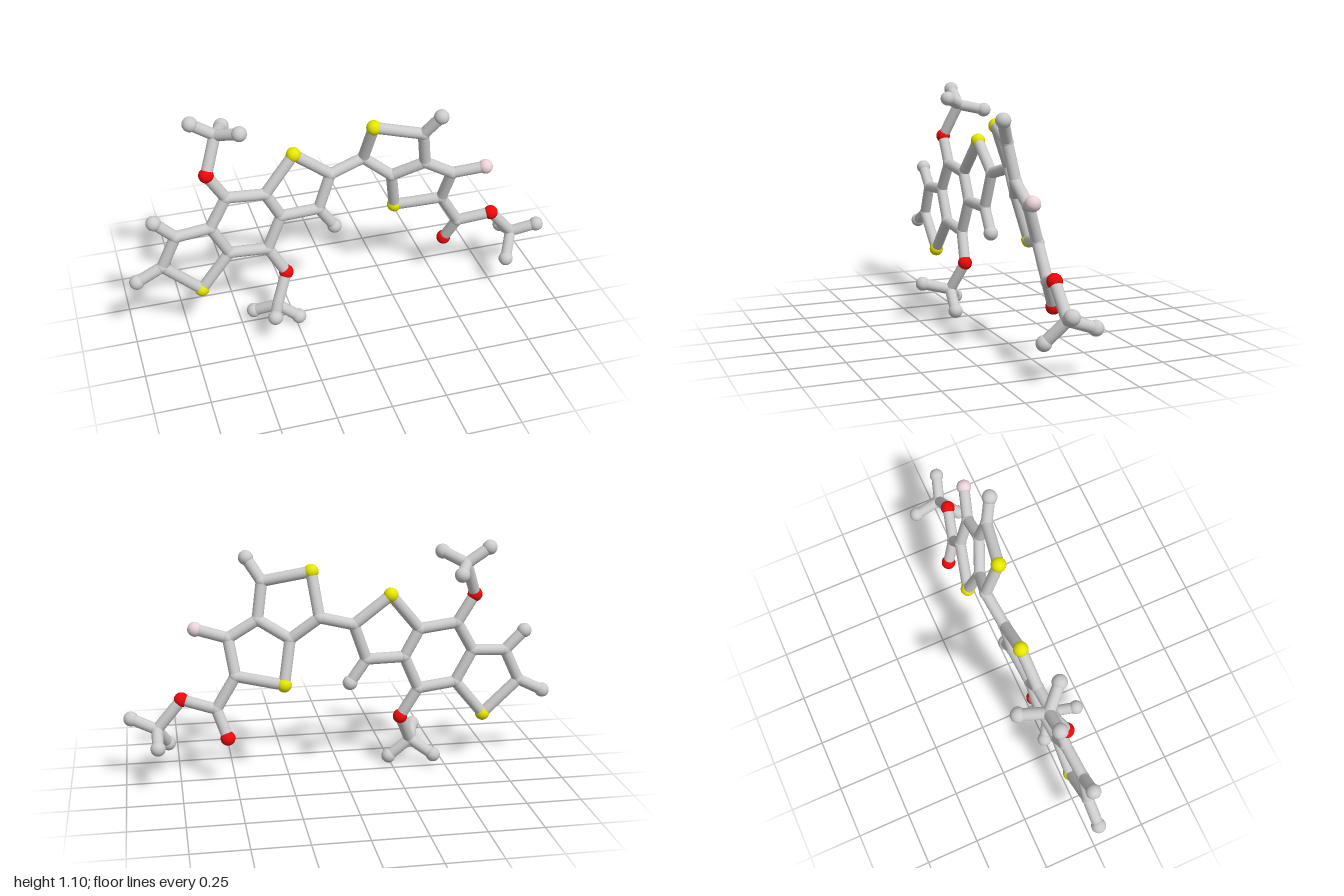
import * as THREE from 'three';

const BOND_RADIUS = 0.026;

// Ball kinds: name, radius, colour
const KINDS = {
  C: ['jointBall', 0.029, 0xcccccc],
  E: ['endBall', 0.034, 0xcccccc],
  S: ['yellowBall', 0.034, 0xe6e600],
  O: ['redBall', 0.034, 0xee0808],
  F: ['pinkBall', 0.034, 0xecd4d8],
};

// Each section lists balls as id: [kind, x, y, z]
const SECTIONS = {
  tripleRing: {
    c1: ['C', -0.78, 0.56, 0.01], c2: ['C', -0.85, 0.41, 0.01],
    s1: ['S', -0.68, 0.25, 0.01], c3: ['C', -0.54, 0.42, 0],
    c4: ['C', -0.62, 0.57, 0], c5: ['C', -0.54, 0.71, -0.01],
    c6: ['C', -0.36, 0.69, -0.02], c7: ['C', -0.29, 0.56, -0.02],
    c8: ['C', -0.36, 0.40, -0.01], s2: ['S', -0.22, 0.86, -0.04],
    c9: ['C', -0.05, 0.73, -0.04], c10: ['C', -0.11, 0.56, -0.03],
    e1: ['E', -0.87, 0.65, 0.01], e2: ['E', -0.97, 0.35, 0.01],
    e3: ['E', -0.035, 0.45, -0.03],
  },
  upperBranch: {
    o1: ['O', -0.62, 0.84, -0.01], m1: ['C', -0.56, 1.0, -0.07],
    m1a: ['E', -0.665, 1.07, -0.07], m1b: ['E', -0.47, 1.04, 0.02],
    m1c: ['E', -0.51, 0.975, -0.185],
  },
  lowerBranch: {
    o2: ['O', -0.28, 0.26, 0.005], m2: ['C', -0.34, 0.12, 0.06],
    m2a: ['E', -0.44, 0.06, -0.005], m2b: ['E', -0.24, 0.037, 0.07],
    m2c: ['E', -0.38, 0.15, 0.188],
  },
  doubleRing: {
    c11: ['C', 0.11, 0.775, -0.06], s3: ['S', 0.135, 0.97, 0.015],
    c12: ['C', 0.355, 0.925, 0.055], c13: ['C', 0.38, 0.755, 0.025],
    c14: ['C', 0.24, 0.675, -0.035], s4: ['S', 0.275, 0.475, -0.085],
    c15: ['C', 0.49, 0.51, -0.03], c16: ['C', 0.515, 0.675, 0.025],
    e4: ['E', 0.42, 1.025, 0.1], f1: ['F', 0.66, 0.71, 0.07],
  },
  sideBranch: {
    c17: ['C', 0.58, 0.36, -0.035], o3: ['O', 0.535, 0.235, -0.085],
    o4: ['O', 0.735, 0.40, 0.005], m3: ['C', 0.85, 0.265, 0],
    m3a: ['E', 0.965, 0.31, 0.037], m3b: ['E', 0.8, 0.165, 0.08],
    m3c: ['E', 0.85, 0.22, -0.127],
  },
};

// Rods run along each chain of balls
const CHAINS = [
  'c1 c2 s1 c3 c4 c1', 'c4 c5 c6 c7 c8 c3', 'c6 s2 c9 c10 c7',
  'e1 c1', 'e2 c2', 'e3 c10', 'c9 c11',
  'c5 o1 m1 m1a', 'm1b m1 m1c',
  'c8 o2 m2 m2a', 'm2b m2 m2c',
  'c11 s3 c12 c13 c14 c11', 'c14 s4 c15 c16 c13', 'c12 e4', 'c16 f1',
  'c15 c17 o4 m3 m3a', 'c17 o3', 'm3b m3 m3c',
];

export function createModel() {
  const model = new THREE.Group();
  model.name = 'ballAndRodModel';

  const ballGeometry = new THREE.SphereGeometry(1, 24, 16);
  const rodGeometry = new THREE.CylinderGeometry(BOND_RADIUS, BOND_RADIUS, 1, 20, 1, true);
  const materials = {};
  for (const kind in KINDS) materials[kind] = new THREE.MeshStandardMaterial({ color: KINDS[kind][2] });

  // Balls, grouped by section
  const points = {};
  for (const [sectionName, balls] of Object.entries(SECTIONS)) {
    const section = new THREE.Group();
    section.name = sectionName;
    for (const [id, [kind, x, y, z]] of Object.entries(balls)) {
      const ball = new THREE.Mesh(ballGeometry, materials[kind]);
      ball.name = KINDS[kind][0];
      ball.position.set(x, y, z);
      ball.scale.setScalar(KINDS[kind][1]);
      points[id] = ball.position;
      section.add(ball);
    }
    model.add(section);
  }

  // Rods joining neighbouring balls
  const rods = new THREE.Group();
  rods.name = 'rods';
  const up = new THREE.Vector3(0, 1, 0);
  for (const chain of CHAINS) {
    const ids = chain.split(' ');
    for (let i = 1; i < ids.length; i++) {
      const a = points[ids[i - 1]], b = points[ids[i]];
      const direction = b.clone().sub(a);
      const rod = new THREE.Mesh(rodGeometry, materials.C);
      rod.name = 'rod';
      rod.position.copy(a).add(b).multiplyScalar(0.5);
      rod.scale.y = direction.length();
      rod.quaternion.setFromUnitVectors(up, direction.normalize());
      rods.add(rod);
    }
  }
  model.add(rods);
  return model;
}
